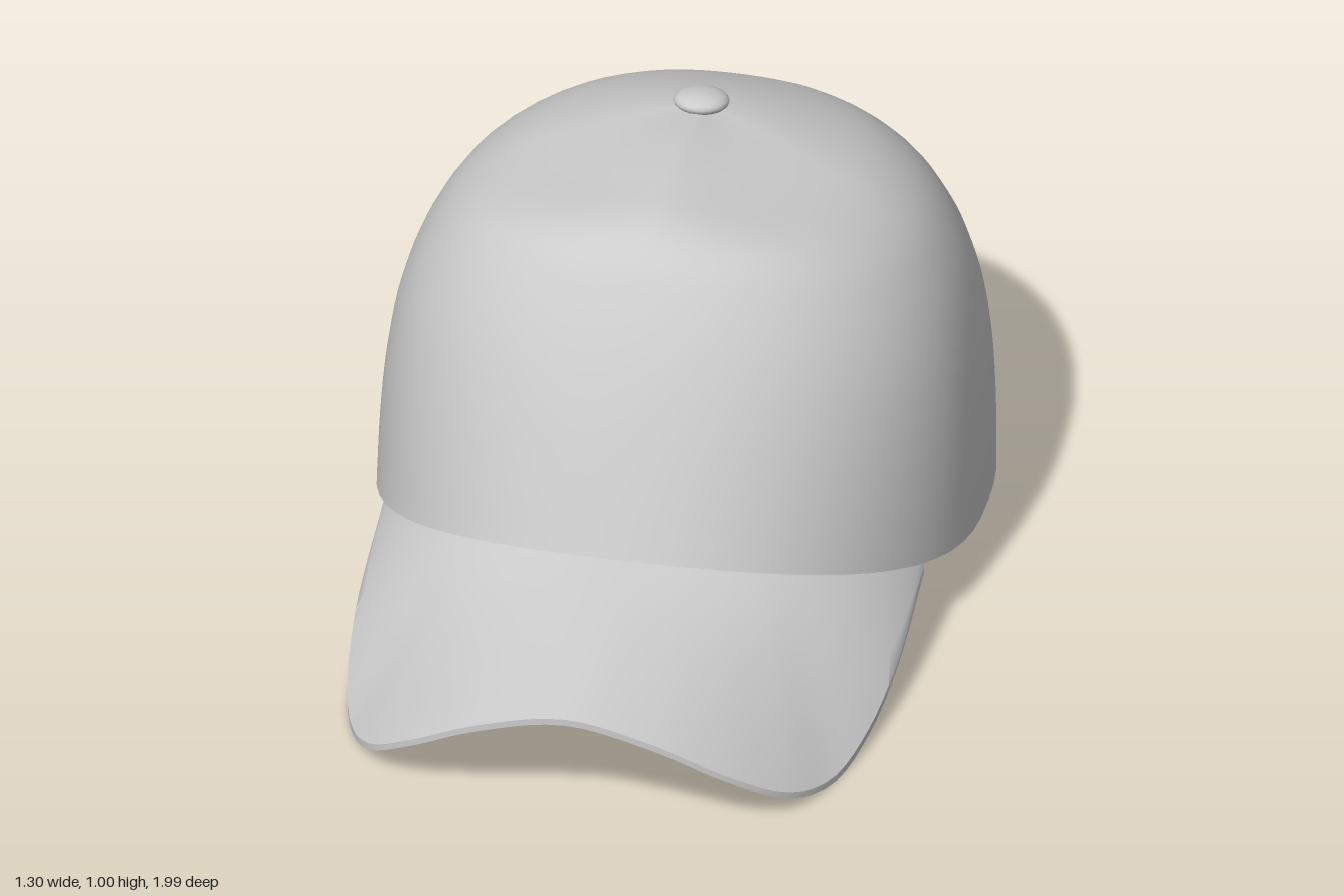
import * as THREE from 'three';
import { toCreasedNormals, mergeGeometries } from 'three/addons/utils/BufferGeometryUtils.js';

const V = (x, y, z) => new THREE.Vector3(x, y, z);
const curve = (pts) => new THREE.CatmullRomCurve3(pts.map((p) => V(...p)));
const material = new THREE.MeshStandardMaterial({ color: 0xcccccc, side: THREE.DoubleSide });

// crown outlines from rim to top: front, side and back
const front = curve([
  [0, .36, .51], [0, .5, .45], [0, .63, .39], [0, .75, .326], [0, .85, .26],
  [0, .92, .2], [0, .965, .12], [0, .98, -.02], [0, .98, -.2], [0, .965, -.37]]);
const side = curve([
  [.65, .118, -.2], [.645, .28, -.2], [.632, .44, -.2], [.607, .58, -.2], [.565, .7, -.21],
  [.5, .8, -.22], [.4, .873, -.25], [.27, .92, -.29], [.13, .953, -.33], [0, .965, -.37]]);
const back = curve([
  [0, .03, -.95], [0, .2, -.98], [0, .36, -.995], [0, .47, -.97], [0, .585, -.918],
  [0, .695, -.855], [0, .8, -.75], [0, .88, -.61], [0, .935, -.48], [0, .965, -.37]]);
const BACK_POWER = 2.3, FRONT_POWER = 2.1; // squareness of the plan

// point on the crown: a is the angle from the front, v runs from rim (0) to top (1)
function crownPoint(a, v) {
  const isFront = Math.cos(a) > 0, n = isFront ? FRONT_POWER : BACK_POWER;
  const sin = Math.abs(Math.sin(a)), cos = Math.abs(Math.cos(a));
  const f = (sin ** n + cos ** n) ** (-1 / n), u = sin * f, w = cos * f;
  const s = side.getPoint(v), e = (isFront ? front : back).getPoint(v);
  let h = w ** (isFront ? 1.6 : 1.3);
  // the front panels meet in a ridge near the top
  if (isFront) h = THREE.MathUtils.lerp(h, 1 - u ** 1.15, THREE.MathUtils.smoothstep(v, .55, .8));
  return V(s.x * Math.sin(a) * f, s.y + (e.y - s.y) * h, s.z + (e.z - s.z) * w);
}

// same point moved inwards
const CORE = V(0, .1, -.2);
const inset = (p, f) => p.clone().sub(CORE).multiplyScalar(f).add(CORE);

function mesh(name, geometry, crease = .7) {
  const m = new THREE.Mesh(toCreasedNormals(geometry, crease), material);
  m.name = name;
  return m;
}

// skin a row of closed cross-sections
function loft(sections) {
  const n = sections[0].length, pos = [], index = [];
  sections.forEach((s) => s.forEach((p) => pos.push(p.x, p.y, p.z)));
  for (let i = 0; i < sections.length - 1; i++) {
    for (let j = 0; j < n; j++) {
      const a = i * n + j, b = i * n + (j + 1) % n;
      index.push(a, a + n, b + n, a, b + n, b);
    }
  }
  const g = new THREE.BufferGeometry();
  g.setAttribute('position', new THREE.Float32BufferAttribute(pos, 3));
  g.setIndex(index);
  return g;
}

const OPEN = .41; // half angle of the opening at the back

function crown() {
  const rows = 36, columns = [];
  const addColumn = (a, v0) => {
    const outer = [];
    for (let j = 0; j <= rows; j++) outer.push(crownPoint(a, Math.max(v0, j / rows)));
    columns.push([...outer, ...outer.map((p) => inset(p, .975)).reverse()]);
  };
  const span = Math.PI - OPEN;
  for (let i = 0; i <= 56; i++) addColumn(span * (i / 28 - 1), 0);
  // arch of the back opening
  for (let i = 1; i <= 32; i++) {
    const q = Math.sin((i / 16 - 1) * Math.PI / 2);
    addColumn(Math.PI + q * OPEN, .222 * Math.sqrt(Math.max(0, 1 - q ** 4)));
  }
  return mesh('crown', loft(columns), .38);
}

function sweatband() {
  const columns = [], span = Math.PI - OPEN;
  for (let i = 0; i <= 56; i++) {
    const a = span * (i / 28 - 1);
    const line = [.004, .05, .1, .14].map((v) => crownPoint(a, v));
    columns.push([...line.map((p) => inset(p, .972)), ...line.map((p) => inset(p, .96)).reverse()]);
  }
  return mesh('sweatband', loft(columns));
}

function brim() {
  const half = [
    [.2, .21, .985], [.34, .135, .95], [.455, .055, .865], [.525, .015, .73],
    [.567, .037, .56], [.588, .09, .37], [.59, .17, .11]];
  const mirrored = half.map(([x, y, z]) => [-x, y, z]).reverse();
  const edge = curve([...mirrored, [0, .26, .997], ...half]);
  const columns = [], n = 32, rows = 6, reach = 1.13;
  for (let i = -n; i <= n; i++) {
    const u = i / n;
    const outer = edge.getPointAt((u + 1) / 2);
    const inner = inset(crownPoint(u * reach, .005), .985);
    const top = [];
    for (let j = 0; j <= rows; j++) top.push(outer.clone().lerp(inner, j / rows));
    columns.push([...top, ...top.map((p) => V(p.x, p.y - .015, p.z)).reverse()]);
  }
  return mesh('brim', loft(columns));
}

// the strap follows the curve of the crown
const strapZ = (x, y) => -.2 - (.75 + .2 * (y - .03))
  * (1 - (Math.abs(x) / .65) ** BACK_POWER) ** (1 / BACK_POWER);
const Y0 = .03, R = .0525, PITCH = .05, TIP = .085;

// one half of the strap, made of short cells and a rounded tip; dir is where the tip points
function strap(name, dir, offset, holed) {
  const shapes = [];
  const cell = (x0, x1) => {
    const shape = new THREE.Shape();
    [[x0, Y0], [x1, Y0], [x1, Y0 + 2 * R], [x0, Y0 + 2 * R]].forEach(([x, y], i) => {
      if (i) shape.lineTo(x * dir, y); else shape.moveTo(x * dir, y);
    });
    shapes.push(shape);
    return shape;
  };
  cell(-.285, -.25);
  cell(-.25, TIP - 6 * PITCH);
  for (let i = 0; i < 6; i++) {
    const x = TIP - (6 - i) * PITCH, shape = cell(x, x + PITCH);
    if (holed) {
      shape.holes.push(new THREE.Path().absarc((x + PITCH / 2) * dir, Y0 + R, .01, 0, Math.PI * 2));
    }
  }
  const start = dir > 0 ? -Math.PI / 2 : Math.PI / 2;
  shapes.push(new THREE.Shape().absarc(TIP * dir, Y0 + R, R, start, start + Math.PI));
  const g = mergeGeometries(shapes.map((shape) => new THREE.ExtrudeGeometry(
    shape, { depth: .01, bevelEnabled: false, curveSegments: 10 })));
  const p = g.attributes.position;
  for (let i = 0; i < p.count; i++) {
    p.setZ(i, p.getZ(i) + strapZ(p.getX(i), p.getY(i)) + offset);
  }
  return mesh(name, g, .5);
}

function closure() {
  const group = new THREE.Group();
  group.name = 'strapClosure';
  group.add(strap('outerStrap', -1, -.014, true), strap('innerStrap', 1, 0, false));
  // studs of the inner strap
  for (let i = 0; i < 6; i++) {
    const x = -.21 + PITCH * i, y = Y0 + R;
    const stud = mesh('stud', new THREE.CylinderGeometry(.008, .008, .018, 10));
    stud.rotation.x = Math.PI / 2;
    stud.position.set(x, y, strapZ(x, y) - .006);
    group.add(stud);
  }
  return group;
}

function button() {
  const m = mesh('topButton', new THREE.SphereGeometry(.06, 24, 12));
  m.scale.y = .4;
  m.position.set(0, .972, -.372);
  m.rotation.x = -.15;
  return m;
}

export function createModel() {
  const group = new THREE.Group();
  group.name = 'cap';
  group.add(crown(), sweatband(), brim(), closure(), button());
  return group;
}
